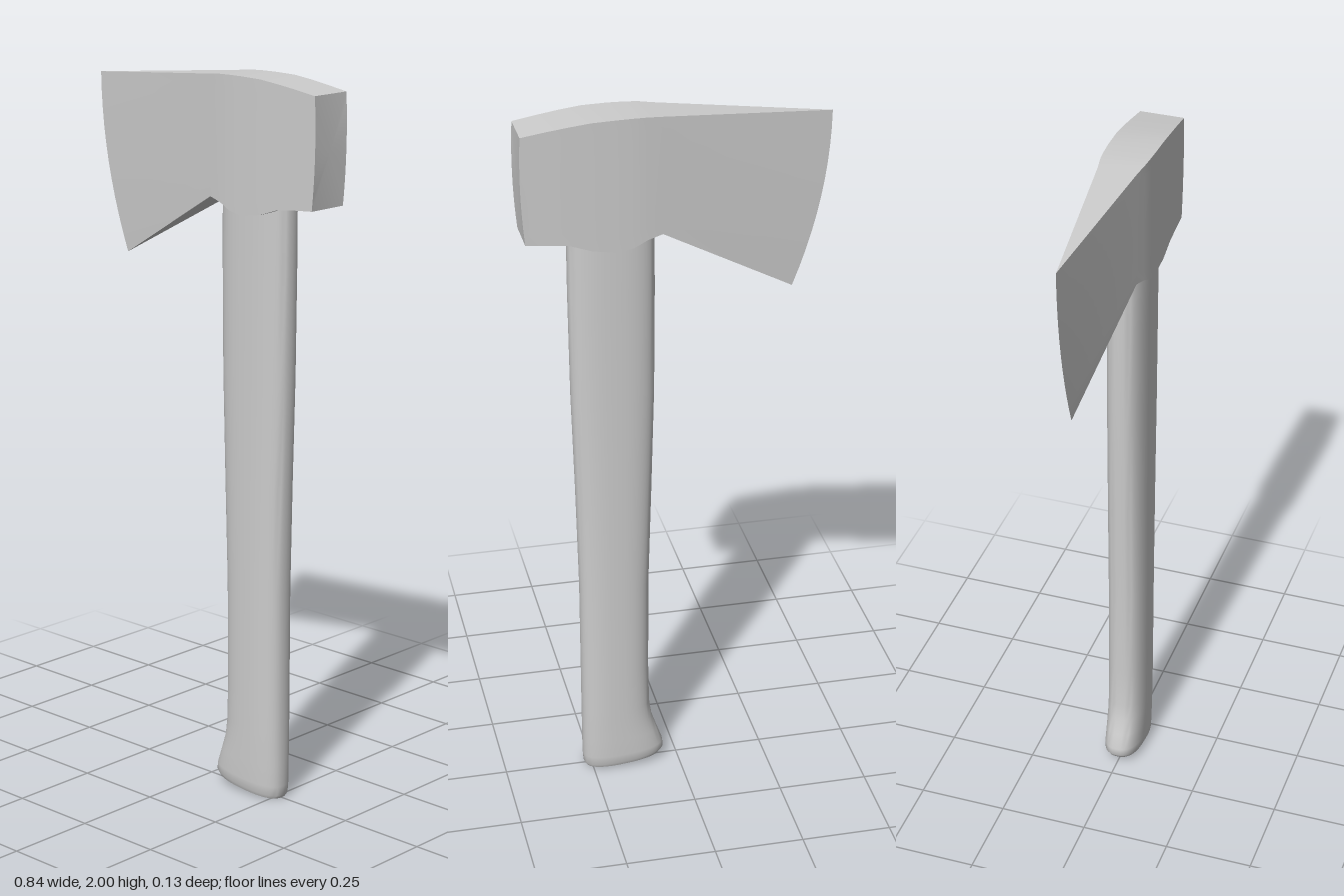
import * as THREE from 'three';
import { toCreasedNormals } from 'three/addons/utils/BufferGeometryUtils.js';

const steel = new THREE.MeshStandardMaterial({ color: 0xcccccc });
steel.name = 'light grey';

// Skin a list of closed rings (counterclockwise about the direction of travel), with optional end caps
function loft(rings, capStart, capEnd, crease) {
  const n = rings[0].length;
  const points = rings.flat();
  const index = [];
  for (let i = 0; i < rings.length - 1; i++) {
    for (let j = 0; j < n; j++) {
      const a = i * n + j, b = i * n + (j + 1) % n;
      index.push(a, b, b + n, a, b + n, a + n);
    }
  }
  const cap = (i, flip) => {
    const centre = new THREE.Vector3();
    rings[i].forEach((p) => centre.addScaledVector(p, 1 / n));
    const c = points.push(centre) - 1;
    for (let j = 0; j < n; j++) {
      const a = i * n + j, b = i * n + (j + 1) % n;
      if (flip) index.push(c, b, a);
      else index.push(c, a, b);
    }
  };
  if (capStart) cap(0, true);
  if (capEnd) cap(rings.length - 1, false);
  const geometry = new THREE.BufferGeometry().setFromPoints(points);
  geometry.setIndex(index);
  return toCreasedNormals(geometry, crease);
}

// Head: sections from cutting edge to poll [xTop, yTop, xBottom, yBottom, halfThickness, bow]
function headGeometry() {
  const sections = [
    [-0.42, 1.955, -0.32, 1.464, 0, -0.024],
    [0.045, 1.995, 0.045, 1.67, 0.053, 0],
    [0.087, 1.999, 0.087, 1.66, 0.06, 0],
    [0.124, 2.0, 0.124, 1.642, 0.063, 0],
    [0.167, 2.0, 0.167, 1.634, 0.065, 0],
    [0.235, 1.998, 0.235, 1.645, 0.066, 0],
    [0.294, 1.991, 0.294, 1.665, 0.065, 0],
    [0.35, 1.983, 0.35, 1.671, 0.063, 0],
    [0.417, 1.972, 0.41, 1.675, 0.061, 0.006],
  ];
  const rows = 10;
  const rings = sections.map(([xt, yt, xb, yb, half, bow]) => {
    const side = (z) => Array.from({ length: rows + 1 }, (_, k) => {
      const t = k / rows;
      return new THREE.Vector3(
        THREE.MathUtils.lerp(xt, xb, t) + bow * 4 * t * (1 - t),
        THREE.MathUtils.lerp(yt, yb, t), z);
    });
    return [...side(half), ...side(-half).reverse()];
  });
  return loft(rings, false, true, 0.6);
}

// Handle: rounded oval sections from butt to head [xLeft, xRight, yLeft, yRight, halfDepth]
function handleGeometry() {
  const sections = [
    [0.075, 0.255, 0.02, 0.003, 0.038],
    [0.05, 0.268, 0.026, 0.004, 0.05],
    [0.04, 0.273, 0.04, 0.013, 0.055],
    [0.042, 0.275, 0.06, 0.04, 0.056],
    [0.058, 0.275, 0.105, 0.105, 0.056],
    [0.073, 0.275, 0.15, 0.15, 0.056],
    [0.08, 0.275, 0.2, 0.2, 0.056],
    [0.082, 0.275, 0.32, 0.32, 0.056],
    [0.08, 0.275, 0.6, 0.6, 0.056],
    [0.07, 0.281, 0.9, 0.9, 0.056],
    [0.061, 0.289, 1.2, 1.2, 0.056],
    [0.058, 0.292, 1.5, 1.5, 0.056],
    [0.058, 0.292, 1.7, 1.7, 0.056],
  ];
  const sides = 40;
  const round = (v) => Math.sign(v) * Math.abs(v) ** 0.8;
  const rings = sections.map(([xl, xr, yl, yr, half]) =>
    Array.from({ length: sides }, (_, j) => {
      const angle = (j / sides) * Math.PI * 2;
      const t = (round(Math.sin(angle)) + 1) / 2;
      return new THREE.Vector3(
        THREE.MathUtils.lerp(xl, xr, t),
        THREE.MathUtils.lerp(yl, yr, t),
        half * round(Math.cos(angle)));
    }));
  return loft(rings, true, true, 0.8);
}

export function createModel() {
  const axe = new THREE.Group();
  axe.name = 'axe';
  const head = new THREE.Mesh(headGeometry(), steel);
  head.name = 'axeHead';
  const handle = new THREE.Mesh(handleGeometry(), steel);
  handle.name = 'handle';
  axe.add(head, handle);
  return axe;
}
